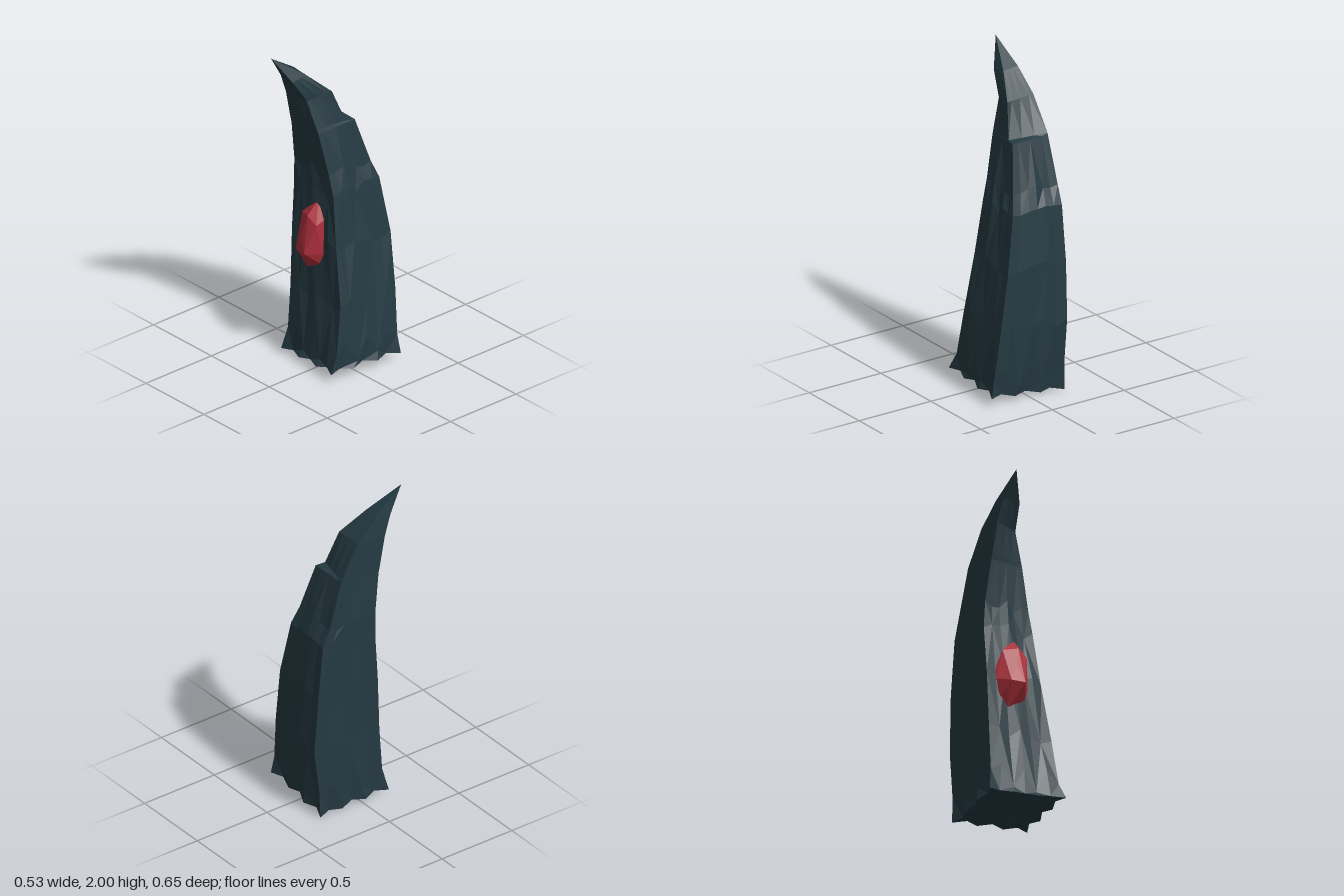
import * as THREE from 'three';
import { ConvexGeometry } from 'three/addons/geometries/ConvexGeometry.js';

const SEGS = 6; // divisions along each of the four sides

// Each level: four corners [x, y, z], front left, front right, back right, back left (as seen from the front)
const LEVELS = [
  [[-0.265, 0.03, 0.175], [0.22, 0.065, 0.222], [0.264, 0.05, -0.272], [-0.23, 0, -0.29]],
  [[-0.24, 0.17, 0.145], [0.205, 0.17, 0.165], [0.24, 0.17, -0.265], [-0.225, 0.17, -0.295]],
  [[-0.24, 0.45, 0.125], [0.185, 0.45, 0.12], [0.207, 0.45, -0.28], [-0.222, 0.45, -0.328]],
  [[-0.245, 0.8, 0.11], [0.125, 0.8, 0.1], [0.16, 0.8, -0.285], [-0.23, 0.8, -0.305]],
  [[-0.252, 1.08, 0.088], [0.08, 1.12, 0.082], [0.102, 1.14, -0.25], [-0.226, 1.14, -0.27]],
  [[-0.245, 1.25, 0.092], [0.048, 1.25, 0.088], [0.072, 1.25, -0.21], [-0.23, 1.25, -0.222]],
  [[-0.226, 1.5, 0.13], [-0.01, 1.5, 0.115], [0.022, 1.525, -0.133], [-0.222, 1.53, -0.135]],
  [[-0.225, 1.54, 0.14], [-0.02, 1.53, 0.12], [0.01, 1.53, -0.075], [-0.222, 1.54, -0.132]],
  [[-0.218, 1.72, 0.18], [-0.075, 1.7, 0.145], [-0.03, 1.73, -0.005], [-0.214, 1.74, 0.0]],
  [[-0.207, 1.85, 0.23], [-0.1, 1.84, 0.232], [-0.1, 1.86, 0.135], [-0.2, 1.87, 0.135]],
  [[-0.18, 2, 0.327], [-0.18, 2, 0.327], [-0.18, 2, 0.327], [-0.18, 2, 0.327]],
];

function seededRandom(seed) {
  return () => {
    seed = (seed * 16807) % 2147483647;
    return seed / 2147483647;
  };
}

// Subdivide a level into a closed ring with slightly chipped sides
function makeRing(corners, level, rand) {
  const ring = [];
  corners.forEach((corner, side) => {
    const a = new THREE.Vector3(...corner);
    const b = new THREE.Vector3(...corners[(side + 1) % 4]);
    const outward = new THREE.Vector3([0, 1, 0, -1][side], 0, [1, 0, -1, 0][side]);
    for (let i = 0; i < SEGS; i++) {
      const p = a.clone().lerp(b, i / SEGS);
      const r = rand() - 0.5;
      if (i > 0 && level < LEVELS.length - 1) {
        if (level === 0) {
          // ragged foot
          p.addScaledVector(outward, i % 2 ? -0.03 : r * 0.02);
          p.y += (i % 2 ? 0.008 : 0) + r * 0.01;
        } else if (level === 1) {
          // alternating notch heights
          p.y += (i % 2 ? 0.045 : -0.07) + r * 0.04;
          p.addScaledVector(outward, i % 2 ? -0.004 : 0.006);
        } else if (level < 6) {
          p.addScaledVector(outward, r * 0.014);
          p.y += r * 0.08;
        }
      }
      ring.push(p);
    }
  });
  return ring;
}

function hornGeometry() {
  const rand = seededRandom(77);
  const rings = LEVELS.map((c, level) => makeRing(c, level, rand));
  const n = SEGS * 4;
  const pos = [];
  const tri = (...pts) => pts.forEach((p) => pos.push(p.x, p.y, p.z));

  // Sides, with alternating diagonals
  for (let j = 0; j < rings.length - 1; j++) {
    for (let i = 0; i < n; i++) {
      const k = (i + 1) % n;
      const [a, b, c, d] = [rings[j][i], rings[j][k], rings[j + 1][k], rings[j + 1][i]];
      if (j === rings.length - 2) tri(a, b, c);
      else if ((i + j) % 2) {
        tri(a, b, c);
        tri(a, c, d);
      } else {
        tri(a, b, d);
        tri(b, c, d);
      }
    }
  }
  // Slightly hollow underside
  const centre = new THREE.Vector3(0, 0.06, -0.04);
  for (let i = 0; i < n; i++) tri(centre, rings[0][(i + 1) % n], rings[0][i]);

  const geo = new THREE.BufferGeometry();
  geo.setAttribute('position', new THREE.Float32BufferAttribute(pos, 3));
  geo.computeVertexNormals();
  return geo;
}

// Faceted gem set into the front face
function gemGeometry() {
  const pts = [
    [-0.05, 1.05, 0.08], [0.02, 0.95, 0.1], [-0.06, 0.965, 0.155], [-0.145, 0.95, 0.12],
    [-0.185, 0.83, 0.1], [-0.185, 0.76, 0.12], [-0.085, 0.84, 0.178], [-0.04, 0.74, 0.2],
    [-0.125, 0.74, 0.187], [0.028, 0.73, 0.11], [0.005, 0.67, 0.12], [-0.105, 0.58, 0.1],
    [-0.16, 0.65, 0.11], [0.005, 0.92, 0.145], [-0.08, 0.8, 0.03],
  ];
  return new ConvexGeometry(pts.map((p) => new THREE.Vector3(...p)));
}

export function createModel() {
  const slate = new THREE.MeshStandardMaterial({ color: 0x253a42 });
  slate.name = 'dark slate';
  slate.flatShading = true;
  const crimson = new THREE.MeshStandardMaterial({ color: 0xb0303c });
  crimson.name = 'crimson';
  crimson.flatShading = true;

  const group = new THREE.Group();
  group.name = 'crystalSpire';

  const spire = new THREE.Mesh(hornGeometry(), slate);
  spire.name = 'stoneSpire';
  const gem = new THREE.Mesh(gemGeometry(), crimson);
  gem.name = 'gem';
  group.add(spire, gem);
  return group;
}
